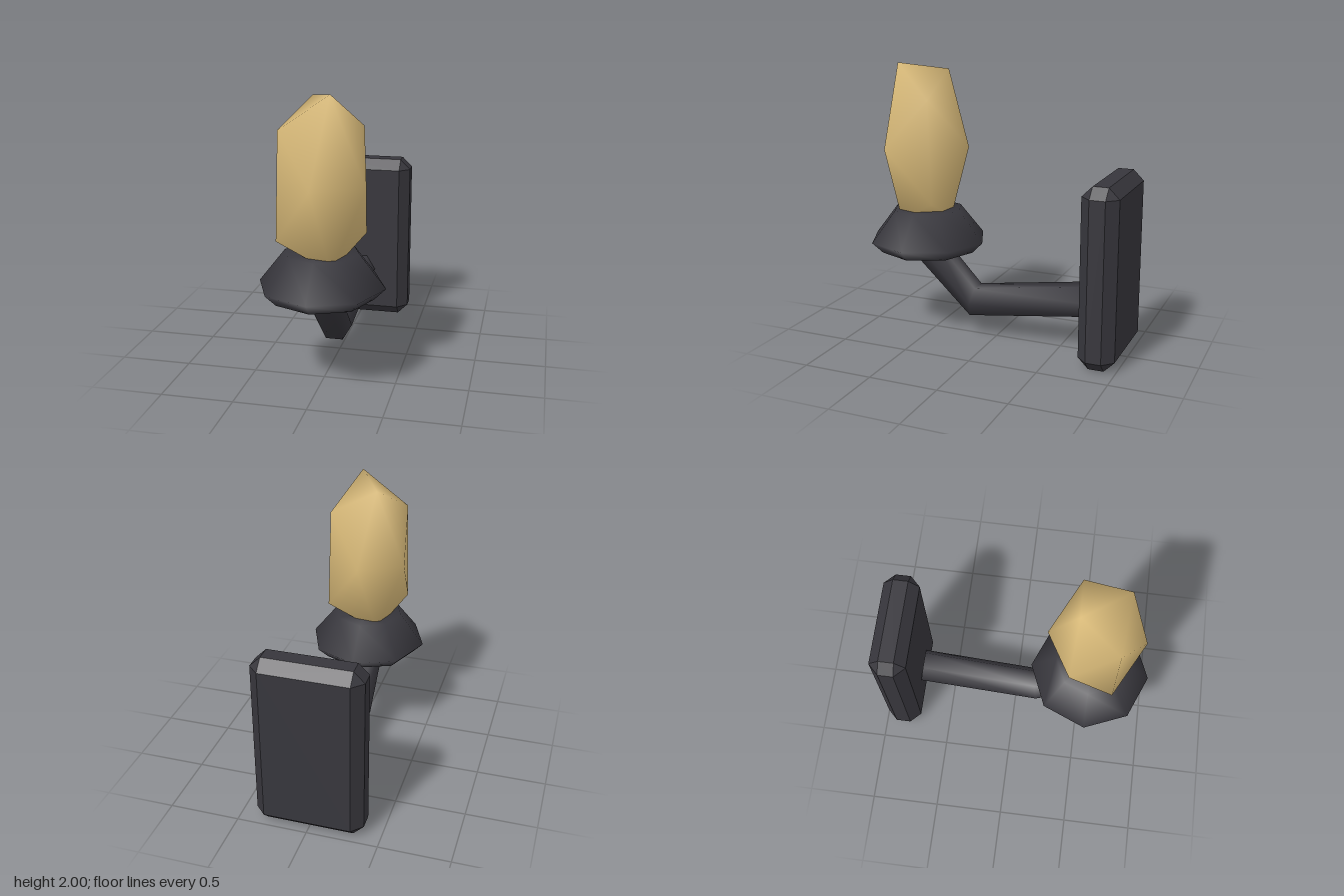
import * as THREE from 'three';
import { ConvexGeometry } from 'three/addons/geometries/ConvexGeometry.js';
import { mergeVertices } from 'three/addons/utils/BufferGeometryUtils.js';

const iron = new THREE.MeshStandardMaterial({ color: 0x37363c });
iron.name = 'dark iron';
const amber = new THREE.MeshStandardMaterial({ color: 0xdbbc7a });
amber.name = 'warm amber';

// Box with every edge and corner cut at 45 degrees
function chamferedBox(w, h, d, c) {
  const half = [w / 2, h / 2, d / 2];
  const points = [];
  for (const sx of [-1, 1]) for (const sy of [-1, 1]) for (const sz of [-1, 1]) {
    for (let axis = 0; axis < 3; axis++) {
      const [x, y, z] = half.map((v, i) => (i === axis ? v : v - c));
      points.push(new THREE.Vector3(sx * x, sy * y, sz * z));
    }
  }
  return new ConvexGeometry(points);
}

// Hexagonal bar through rings given by their top and bottom [z, y]
function hexBar(rings) {
  const ringPoints = ([top, bottom]) => Array.from({ length: 6 }, (_, i) => {
    const a = (i * Math.PI) / 3;
    const t = 0.5 + Math.sin(a) / Math.sqrt(3);
    return [
      0.125 * Math.cos(a),
      THREE.MathUtils.lerp(bottom[1], top[1], t),
      THREE.MathUtils.lerp(bottom[0], top[0], t),
    ];
  });
  const loops = rings.map(ringPoints);
  const last = rings.length - 1;
  // The end loops are repeated so that the caps keep a sharp rim
  const pos = [...loops, loops[0], loops[last]].flat(2);
  const index = [];
  for (let r = 0; r < last; r++) {
    for (let i = 0; i < 6; i++) {
      const j = (i + 1) % 6;
      const a = r * 6 + i, b = r * 6 + j;
      index.push(a, b, b + 6, a, b + 6, a + 6);
    }
  }
  const s = rings.length * 6;
  for (let i = 1; i < 5; i++) {
    index.push(s, s + i + 1, s + i);
    index.push(s + 6, s + 6 + i, s + 7 + i);
  }
  const g = new THREE.BufferGeometry();
  g.setAttribute('position', new THREE.Float32BufferAttribute(pos, 3));
  g.setIndex(index);
  g.computeVertexNormals();
  return g;
}

// Tall, slightly uneven twenty-sided gem with smooth normals
function bulbGeometry() {
  const points = [
    [0.10, 2.0, 0.72], [-0.09, 1.95, 0.41],
    [0.255, 1.76, 0.41], [-0.25, 1.76, 0.70],
    [0.33, 1.41, 0.72], [0, 1.41, 0.89], [-0.305, 1.41, 0.39], [0, 1.41, 0.215],
    [0.27, 1.03, 0.385], [-0.27, 1.03, 0.71],
    [0.10, 0.85, 0.72], [-0.10, 0.85, 0.41],
  ].map((p) => new THREE.Vector3(...p));
  let g = new ConvexGeometry(points);
  g.deleteAttribute('normal');
  g = mergeVertices(g);
  g.computeVertexNormals();
  return g;
}

export function createModel() {
  const model = new THREE.Group();
  model.name = 'wallLamp';
  const add = (name, geometry, material) => {
    const mesh = new THREE.Mesh(geometry, material);
    mesh.name = name;
    model.add(mesh);
    return mesh;
  };

  // Wall plate
  add('wallPlate', chamferedBox(0.765, 1.28, 0.26, 0.075), iron).position.set(0, 0.64, -0.86);

  // Bent arm from the plate to the dish
  add('arm', hexBar([
    [[-0.715, 0.5], [-0.74, 0.28]],
    [[0.15, 0.37], [0.19, 0.155]],
    [[0.48, 0.72], [0.63, 0.57]],
  ]), iron);

  // Eight-sided dish holding the bulb
  const profile = [[0, 0.62], [0.355, 0.62], [0.435, 0.7], [0.255, 0.93], [0, 0.93]];
  const dish = new THREE.LatheGeometry(profile.map((p) => new THREE.Vector2(...p)), 8);
  add('dish', dish, iron).position.z = 0.55;

  // Bulb
  add('bulb', bulbGeometry(), amber);

  return model;
}
